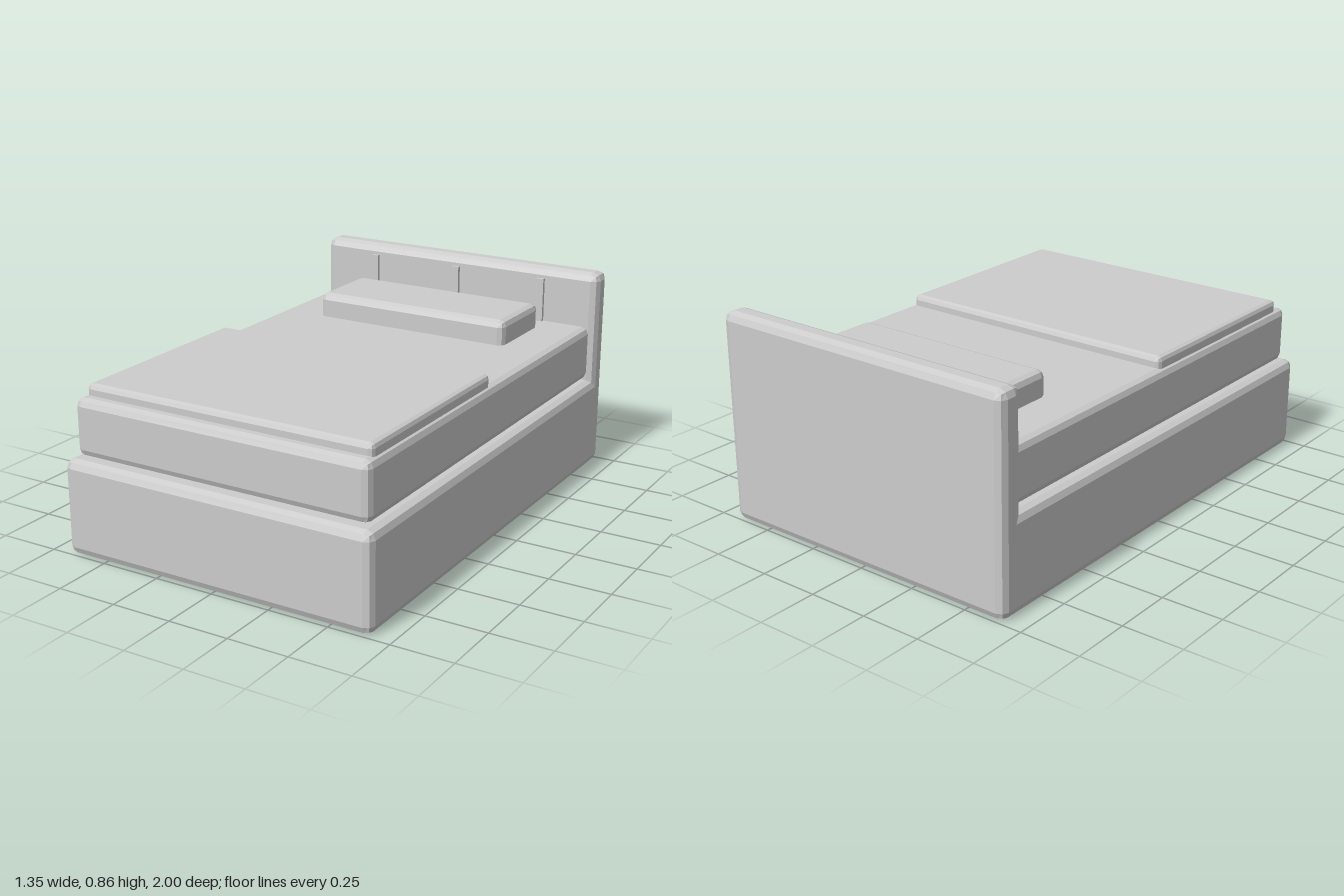
import * as THREE from 'three';
import { RoundedBoxGeometry } from 'three/addons/geometries/RoundedBoxGeometry.js';

export function createModel() {
  const bed = new THREE.Group();
  bed.name = 'bed';
  const grey = new THREE.MeshStandardMaterial({ color: 0xcccccc });
  grey.name = 'plain grey';

  // box given by its x, y and z ranges, with faceted bevelled edges
  function block(name, [x0, x1], [y0, y1], [z0, z1], bevel = 0) {
    const size = [x1 - x0, y1 - y0, z1 - z0];
    const geometry = bevel
      ? new RoundedBoxGeometry(...size, 1, bevel)
      : new THREE.BoxGeometry(...size);
    geometry.computeVertexNormals(); // flat facets
    const mesh = new THREE.Mesh(geometry, grey);
    mesh.name = name;
    mesh.position.set((x0 + x1) / 2, (y0 + y1) / 2, (z0 + z1) / 2);
    bed.add(mesh);
  }

  // base and headboard
  block('bedBase', [-0.673, 0.673], [0, 0.39], [-1, 1], 0.034);
  block('headboard', [-0.673, 0.673], [0, 0.863], [-1, -0.89], 0.034);

  // upright trims on the headboard
  for (const x of [-0.412, 0, 0.412]) {
    block('headboardTrim', [x - 0.017, x + 0.017], [0.42, 0.815], [-0.9, -0.875]);
  }

  // bedding
  block('mattress', [-0.64, 0.64], [0.395, 0.627], [-0.93, 0.957], 0.03);
  block('blanket', [-0.622, 0.622], [0.6, 0.672], [0.015, 0.902], 0.02);
  block('pillow', [-0.444, 0.444], [0.59, 0.73], [-0.802, -0.457], 0.028);

  return bed;
}
